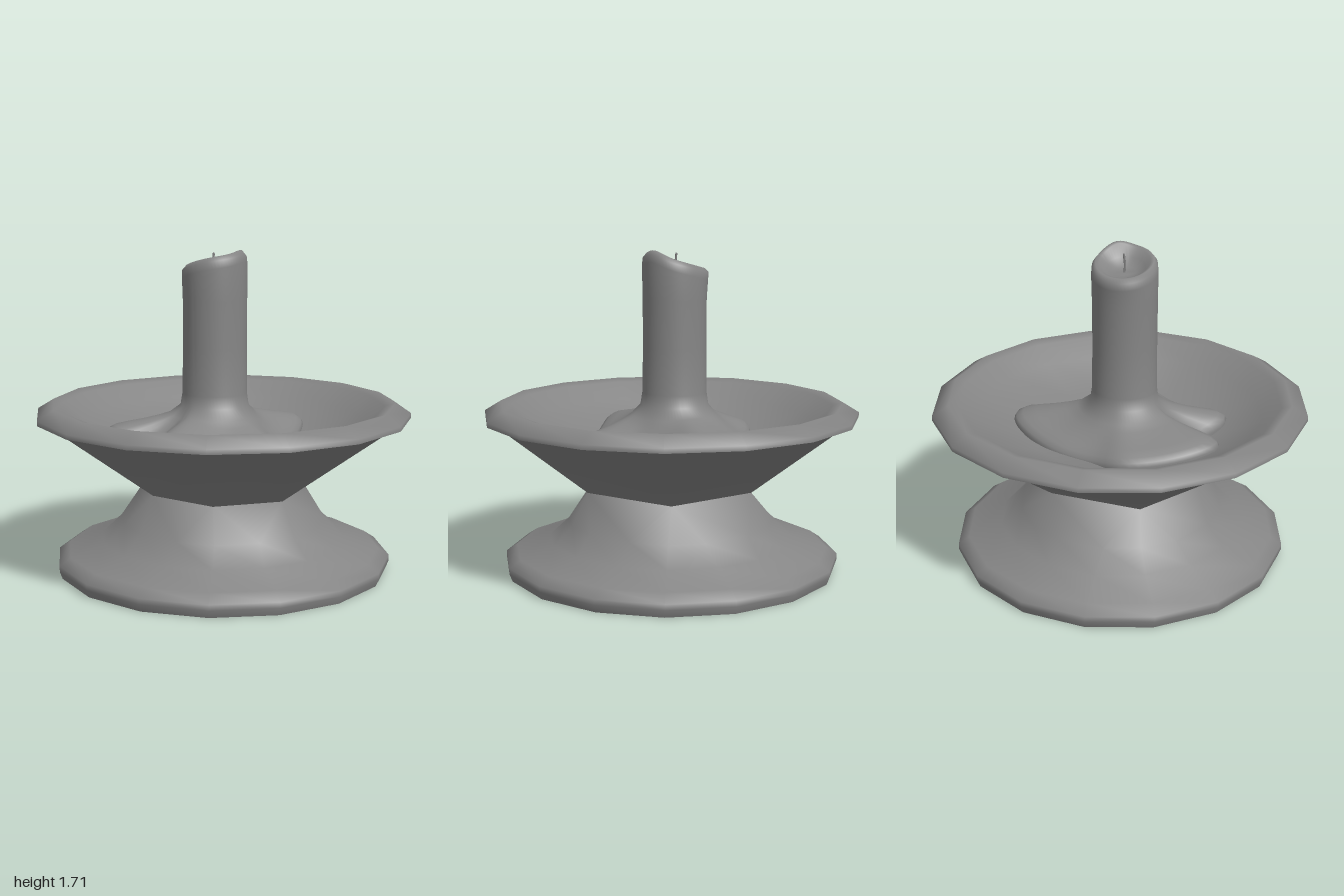
import * as THREE from 'three';
import { mergeVertices, toCreasedNormals } from 'three/addons/utils/BufferGeometryUtils.js';

const material = new THREE.MeshStandardMaterial({ color: 0x858585 });
const SIDES = 16;

// Skin a stack of closed rings (arrays of Vector3, same length)
function loft(name, rings, crease) {
  const n = rings[0].length;
  const points = rings.flat();
  const index = [];
  const same = (p, q) => points[p].distanceTo(points[q]) < 1e-5;
  for (let r = 0; r < rings.length - 1; r++) {
    for (let i = 0; i < n; i++) {
      const j = (i + 1) % n;
      const a = r * n + i, b = a + n, c = (r + 1) * n + j, d = r * n + j;
      // skip triangles that collapse where columns meet
      if (!same(b, c)) index.push(a, b, c);
      if (!same(a, d)) index.push(a, c, d);
    }
  }
  let geometry = new THREE.BufferGeometry().setFromPoints(points);
  geometry.setIndex(index);
  geometry = toCreasedNormals(mergeVertices(geometry, 1e-4), crease);
  const mesh = new THREE.Mesh(geometry, material);
  mesh.name = name;
  return mesh;
}

// Regular ring of the holder
function ring(radius, y) {
  return Array.from({ length: SIDES }, (_, i) => {
    const a = (i / SIDES) * Math.PI * 2;
    return new THREE.Vector3(radius * Math.cos(a), y, radius * Math.sin(a));
  });
}

// Coarse uneven six-sided waist; each column snaps to its nearest corner
const corners = [[0.43, 0.16], [0, 0.47], [-0.34, 0.32], [-0.43, -0.06], [-0.19, -0.42], [0.3, -0.34]]
  .map(([x, z]) => new THREE.Vector3(x, 0.44, z));
function waist() {
  return ring(0.46, 0.44).map((p) =>
    corners.reduce((best, c) => (c.distanceTo(p) < best.distanceTo(p) ? c : best)));
}

// Foot: bevelled disc sweeping up into the waist
function makeFoot() {
  const neck = waist();
  const shoulder = ring(0.57, 0.265).map((p, i) => p.lerp(neck[i], 0.12).setY(0.265));
  return loft('foot', [
    ring(0, 0), ring(0.885, 0), ring(0.9, 0.04), ring(0.9, 0.07),
    ring(0.84, 0.11), ring(0.66, 0.165), shoulder, neck,
  ], 1.15);
}

// Dish: flared underside, rounded rim and hollow inside
function makeDish() {
  return loft('dish', [
    waist(), ring(0.93, 0.808), ring(1, 0.825), ring(1, 0.85), ring(0.915, 0.902),
    ring(0.86, 0.885), ring(0.76, 0.8), ring(0.5, 0.69), ring(0, 0.66),
  ], 1.28);
}

// Candle and its melted puddle, as one continuous skin
function makeWax() {
  const cx = -0.03, cz = -0.03;
  const outline = new THREE.CatmullRomCurve3([
    [-0.1, -0.5], [0.06, -0.43], [0.3, -0.33], [0.5, -0.18], [0.56, -0.1], [0.57, 0],
    [0.53, 0.07], [0.3, 0.22], [0.18, 0.31], [0.08, 0.42], [-0.02, 0.49], [-0.12, 0.46],
    [-0.25, 0.36], [-0.52, 0.19], [-0.56, 0.13], [-0.54, 0.05], [-0.46, -0.04],
    [-0.49, -0.13], [-0.56, -0.2], [-0.56, -0.28], [-0.48, -0.37], [-0.3, -0.46],
  ].map(([x, z]) => new THREE.Vector3(x, 0, z)), true).getSpacedPoints(72).slice(0, 72);

  // puddle ring: slides from the outline (t = 0) to the candle's root (t = 1)
  const puddle = (t, lift) => outline.map((p) => {
    const floor = 0.69 + (Math.hypot(p.x, p.z) - 0.5) * 0.42;
    const a = Math.atan2(p.z - cz, p.x - cx);
    const root = new THREE.Vector3(cx + 0.2 * Math.cos(a), 0, cz + 0.2 * Math.sin(a));
    return p.clone().lerp(root, t).setY(THREE.MathUtils.lerp(floor + lift, 0.855, t ** 1.5));
  });
  // candle ring: height given per angle, bulging at the back by the given amount
  const round = (radius, height, bulge = 0) => outline.map((p) => {
    const a = Math.atan2(p.z - cz, p.x - cx);
    const y = height(a);
    const r = radius * (1 + 0.01 * Math.sin(3 * a + y * 4)) + bulge * Math.max(0, -Math.sin(a)) ** 3;
    return new THREE.Vector3(cx + r * Math.cos(a), y, cz + r * Math.sin(a));
  });
  const flat = (y) => () => y;
  // burnt-down lip with a peak at the front
  const lip = (offset) => (a) =>
    1.645 + offset + 0.04 * Math.sin(a) + 0.024 * Math.exp(-(((a - 1.1) / 0.5) ** 2));

  return loft('candleAndMeltedWax', [
    puddle(0.03, -0.04), puddle(0, 0.015), puddle(0.03, 0.035), puddle(0.12, 0.05),
    puddle(0.3, 0.055), puddle(0.5, 0.055), puddle(0.7, 0.055), puddle(0.87, 0.055),
    round(0.182, flat(0.885)), round(0.172, flat(0.95)), round(0.169, flat(1.2)),
    round(0.17, flat(1.45)), round(0.172, lip(-0.06), 0.006), round(0.168, lip(-0.02), 0.015),
    round(0.15, lip(0.002), 0.01), round(0.13, lip(-0.005)),
    round(0.105, (a) => 1.61 + 0.025 * Math.sin(a)), round(0.06, flat(1.592)), round(0, flat(1.588)),
  ], 1.4);
}

// Wick: thin, slightly bent
function makeWick() {
  const path = new THREE.CatmullRomCurve3([
    new THREE.Vector3(-0.03, 1.575, -0.04),
    new THREE.Vector3(-0.033, 1.63, -0.037),
    new THREE.Vector3(-0.028, 1.685, -0.04),
  ]);
  const wick = new THREE.Group();
  wick.name = 'wick';
  const stem = new THREE.Mesh(new THREE.TubeGeometry(path, 6, 0.006, 6), material);
  stem.name = 'wickStem';
  const tip = new THREE.Mesh(new THREE.SphereGeometry(0.006, 6, 4), material);
  tip.name = 'wickTip';
  tip.position.copy(path.getPoint(1));
  wick.add(stem, tip);
  return wick;
}

export function createModel() {
  const model = new THREE.Group();
  model.name = 'candleHolder';
  model.add(makeFoot(), makeDish(), makeWax(), makeWick());
  return model;
}
